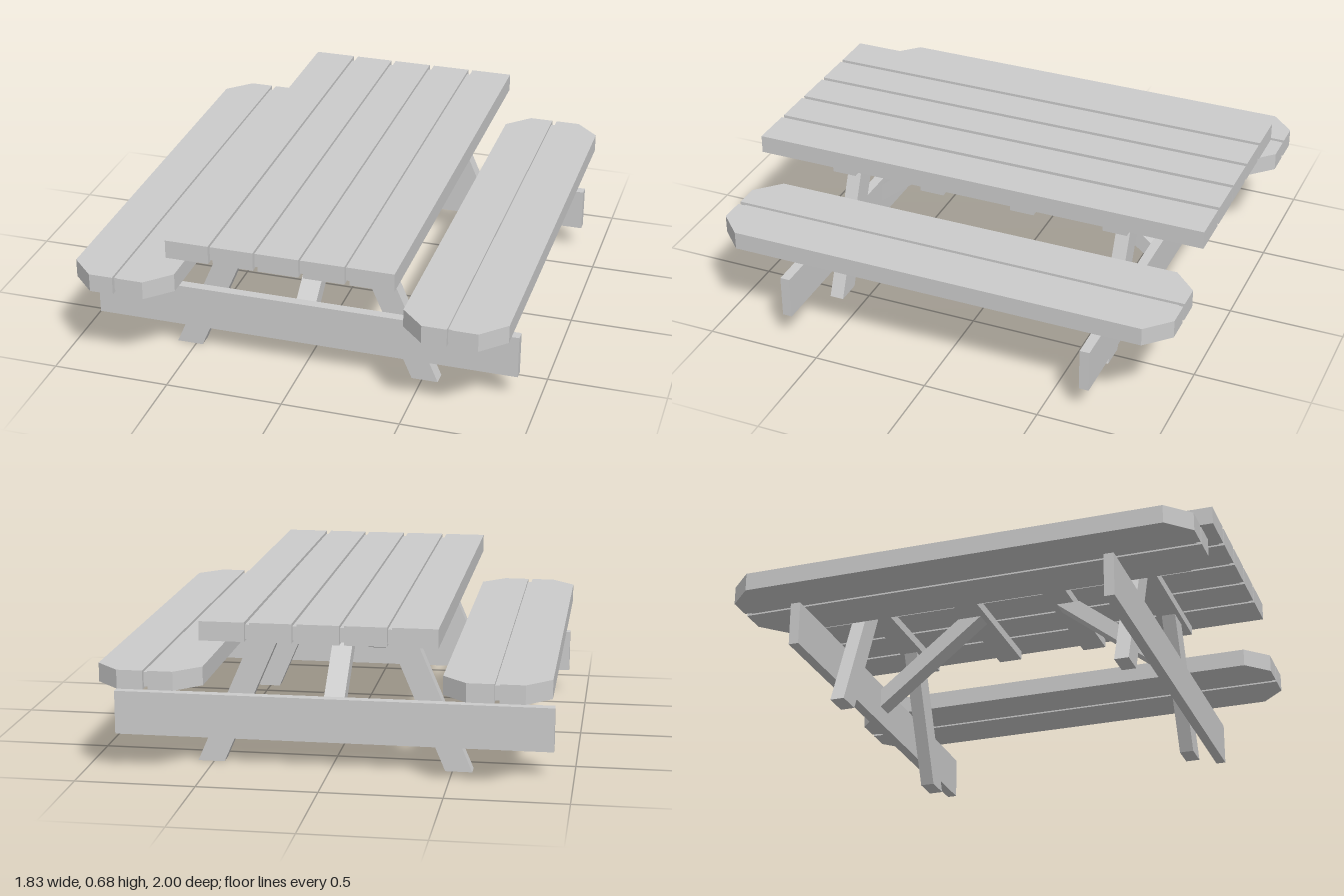
import * as THREE from 'three';

const material = new THREE.MeshStandardMaterial({ color: 0xcccccc, flatShading: true });

function addMesh(parent, name, geometry) {
  const mesh = new THREE.Mesh(geometry, material);
  mesh.name = name;
  parent.add(mesh);
  return mesh;
}

// Box given by its limits on each axis
function addBox(parent, name, [x0, x1], [y0, y1], [z0, z1]) {
  const geometry = new THREE.BoxGeometry(x1 - x0, y1 - y0, z1 - z0);
  geometry.translate((x0 + x1) / 2, (y0 + y1) / 2, (z0 + z1) / 2);
  return addMesh(parent, name, geometry);
}

// Flat outline extruded along +z
function extrude(points, depth) {
  const shape = new THREE.Shape(points.map(([x, y]) => new THREE.Vector2(x, y)));
  return new THREE.ExtrudeGeometry(shape, { depth, bevelEnabled: false });
}

// Outline in x and z, thickened upwards from y0 to y1
function addSlab(parent, name, points, y0, y1) {
  const geometry = extrude(points.map(([x, z]) => [x, -z]), y1 - y0);
  geometry.rotateX(-Math.PI / 2).translate(0, y0, 0);
  return addMesh(parent, name, geometry);
}

export function createModel() {
  const table = new THREE.Group();
  table.name = 'picnicTable';

  // Tabletop: five planks with recessed strips in the joints
  const top = new THREE.Group();
  top.name = 'tabletop';
  table.add(top);
  const joints = [-0.285, -0.097, 0.092, 0.281];
  const gap = 0.01;
  const edges = [-0.476 - gap, ...joints, 0.473 + gap];
  for (let i = 0; i < 5; i++) {
    addBox(top, 'topPlank', [edges[i] + gap, edges[i + 1] - gap], [0.605, 0.683], [-1, 1]);
  }
  for (const x of joints) {
    addBox(top, 'topJoint', [x - gap, x + gap], [0.612, 0.67], [-0.978, 0.978]);
  }

  // Benches: two planks each, outer corners cut off
  for (const [name, x0, xm, x1] of [['rightBench', -0.917, -0.706, -0.485], ['leftBench', 0.483, 0.696, 0.912]]) {
    const bench = new THREE.Group();
    bench.name = name;
    table.add(bench);
    const cut = 0.1;
    for (const [outer, inner] of [[x0, xm - gap], [x1, xm + gap]]) {
      const shoulder = outer + Math.sign(inner - outer) * cut;
      addSlab(bench, 'seatPlank', [
        [outer, -1 + cut], [shoulder, -1], [inner, -1],
        [inner, 1], [shoulder, 1], [outer, 1 - cut],
      ], 0.395, 0.473);
    }
    addBox(bench, 'seatJoint', [xm - gap, xm + gap], [0.402, 0.462], [-0.978, 0.978]);
  }

  // Battens under the tabletop
  for (const z of [0.622, 0.209, -0.201, -0.612]) {
    addBox(table, 'batten', [-0.448, 0.442], [0.565, 0.605], [z - 0.053, z + 0.053]);
  }

  // Trestle at each end: splayed legs, bench beam and diagonal brace
  for (const [name, side, shift] of [['frontTrestle', 1, 0.005], ['backTrestle', -1, 0.005]]) {
    const trestle = new THREE.Group();
    trestle.name = name;
    trestle.position.z = shift;
    table.add(trestle);
    const span = (a, b) => (side > 0 ? [a, b] : [-b, -a]);

    const legs = [
      [[-0.583, 0], [-0.471, 0], [-0.23, 0.565], [-0.341, 0.565]],
      [[0.456, 0], [0.568, 0], [0.323, 0.565], [0.211, 0.565]],
    ];
    for (const outline of legs) {
      const geometry = extrude(outline, 0.061);
      geometry.translate(0, 0, span(0.589, 0.65)[0]);
      addMesh(trestle, 'leg', geometry);
    }

    addBox(trestle, 'benchBeam', [-0.917, 0.912], [0.113, 0.298], span(0.65, 0.692));

    // Brace outline in z and y, turned to run along x
    const outline = [[0.179, 0.565], [0.285, 0.565], [0.65, 0.274], [0.65, 0.19]];
    const brace = extrude(outline.map(([z, y]) => [-side * z, y]), 0.086);
    brace.rotateY(Math.PI / 2).translate(-0.049, 0, 0);
    addMesh(trestle, 'brace', brace);
  }

  return table;
}
